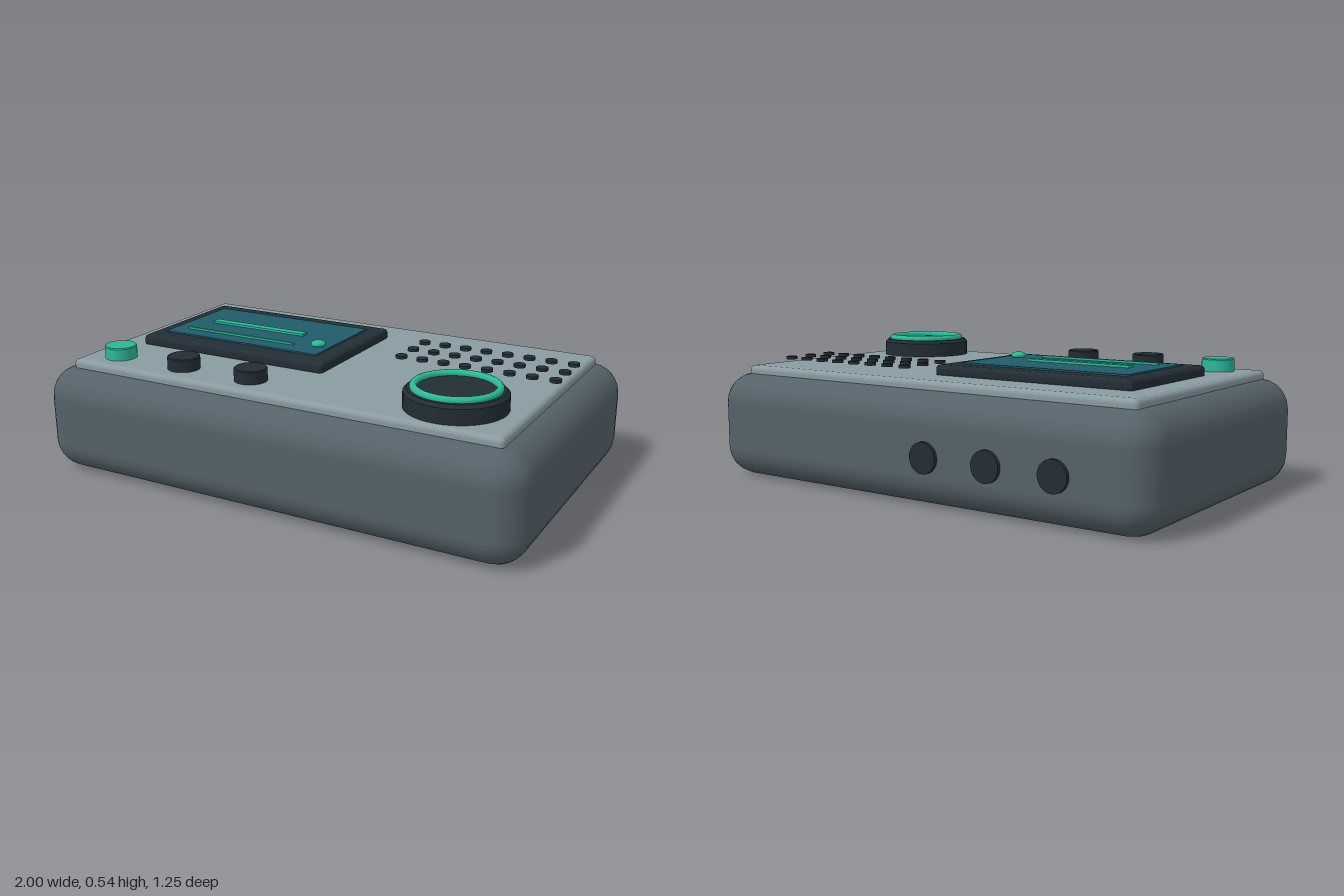
import * as THREE from 'three';
import { RoundedBoxGeometry } from 'three/addons/geometries/RoundedBoxGeometry.js';
import { toCreasedNormals } from 'three/addons/utils/BufferGeometryUtils.js';

const material = (name, color) => Object.assign(new THREE.MeshStandardMaterial({ color }), { name });

export function createModel() {
  const casing = material('slate casing', 0x556269);
  const panel = material('pale grey panel', 0x8a9ba2);
  const dark = material('dark rubber', 0x232d35);
  const glass = material('teal glass', 0x215b69);
  const green = material('green accent', 0x2cb898);

  const model = new THREE.Group();
  model.name = 'deskRadio';

  const add = (name, geometry, mat, x, y, z) => {
    const mesh = new THREE.Mesh(geometry, mat);
    mesh.name = name;
    mesh.position.set(x, y, z);
    model.add(mesh);
    return mesh;
  };

  // Box given by its extents on each axis, rounded when a radius is set
  const addBox = (name, mat, [x0, x1], [y0, y1], [z0, z1], radius = 0, segments = 3) => {
    const size = [x1 - x0, y1 - y0, z1 - z0];
    const geometry = radius ? new RoundedBoxGeometry(...size, segments, radius) : new THREE.BoxGeometry(...size);
    return add(name, geometry, mat, (x0 + x1) / 2, (y0 + y1) / 2, (z0 + z1) / 2);
  };

  // Upright disc with a small bevel around its top
  const bevelledDisc = (radius, height, bevel) => {
    const profile = [
      [0, 0], [radius, 0], [radius, height - bevel], [radius - bevel, height], [0, height],
    ].map(([r, y]) => new THREE.Vector2(r, y));
    return toCreasedNormals(new THREE.LatheGeometry(profile, 40), 0.5);
  };

  // Casing and top panel
  addBox('casing', casing, [-1, 1], [0, 0.42], [-0.61, 0.623], 0.12, 3);
  addBox('topPanel', panel, [-0.9, 0.9], [0.4, 0.45], [-0.515, 0.53], 0.02);

  // Display
  addBox('displayBezel', dark, [-0.79, 0.055], [0.44, 0.489], [-0.35, 0.225], 0.018);
  addBox('displayGlass', glass, [-0.73, -0.015], [0.486, 0.495], [-0.275, 0.145]);
  addBox('displayBar', green, [-0.63, -0.19], [0.495, 0.504], [-0.085, -0.05]);
  addBox('displayLine', green, [-0.67, -0.16], [0.495, 0.503], [0.065, 0.077]);
  const lamp = add('displayLamp', new THREE.SphereGeometry(0.03, 20, 12), green, -0.07, 0.502, 0.03);
  lamp.scale.y = 0.5;

  // Row of push buttons
  const buttonGeometry = bevelledDisc(0.063, 0.052, 0.004);
  [-0.753, -0.446, -0.14].forEach((x, i) => {
    add(`button${i + 1}`, buttonGeometry, i === 0 ? green : dark, x, 0.448, 0.412);
  });

  // Dial with its accent ring
  add('dial', bevelledDisc(0.186, 0.07, 0.012), dark, 0.645, 0.449, 0.322);
  const ring = add('dialRing', new THREE.TorusGeometry(0.15, 0.014, 12, 48), green, 0.645, 0.525, 0.322);
  ring.rotation.x = Math.PI / 2;

  // Speaker dots
  const dotGeometry = new THREE.CylinderGeometry(0.023, 0.023, 0.012, 16);
  for (let row = 0; row < 3; row++) {
    for (let column = 0; column < 8; column++) {
      add('speakerDot', dotGeometry, dark, 0.243 + column * 0.0895, 0.466, -0.303 + row * 0.111);
    }
  }

  // Sockets on the back
  const socketGeometry = new THREE.CylinderGeometry(0.058, 0.058, 0.02, 28).rotateX(Math.PI / 2);
  [-0.65, -0.378, -0.106].forEach((x, i) => {
    add(`backSocket${i + 1}`, socketGeometry, dark, x, 0.19, -0.614);
  });

  return model;
}
